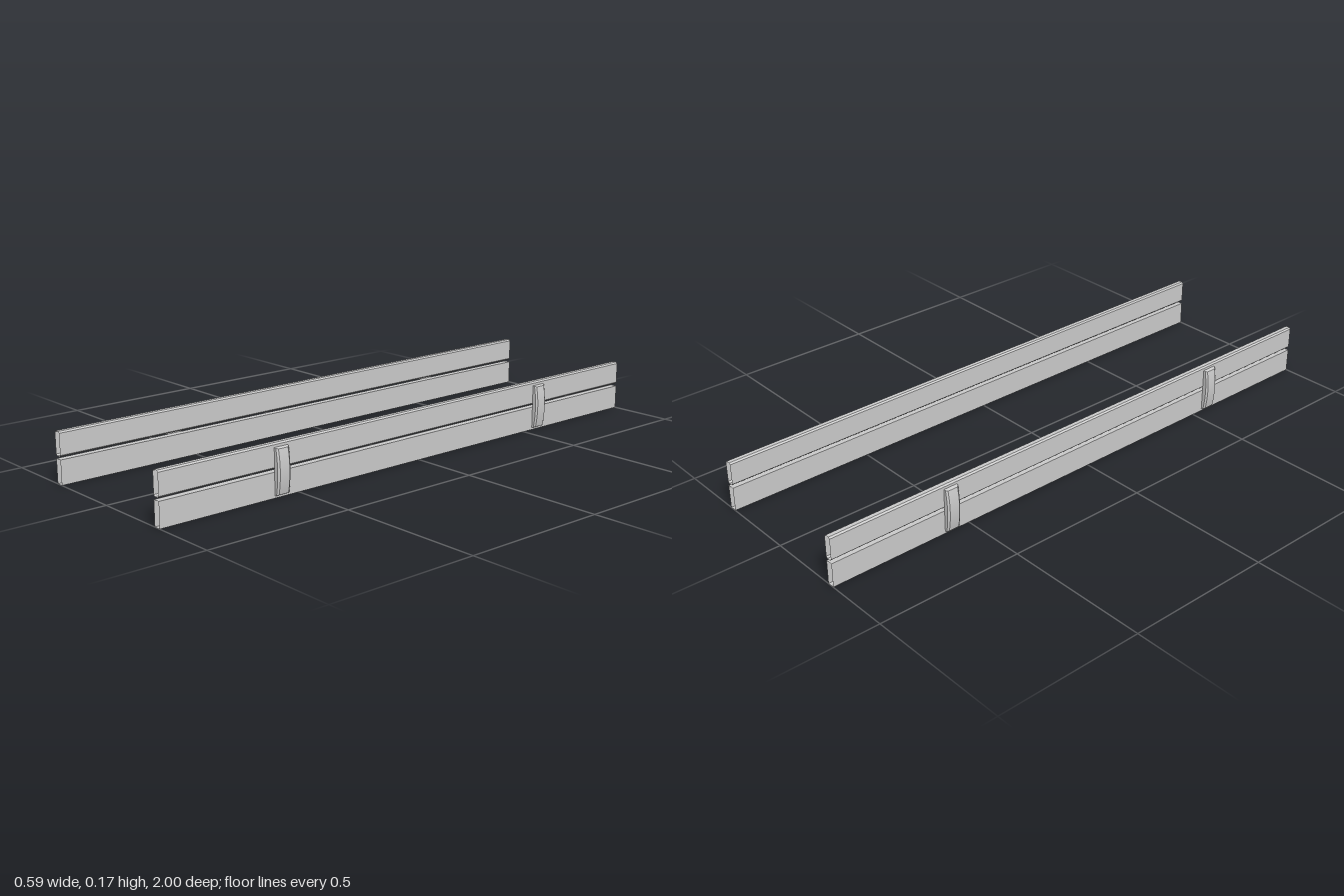
import * as THREE from 'three';
import { toCreasedNormals } from 'three/addons/utils/BufferGeometryUtils.js';

const grey = new THREE.MeshStandardMaterial({ color: 0xcccccc });
const greyOpen = new THREE.MeshStandardMaterial({ color: 0xcccccc, side: THREE.DoubleSide });

const INNER = 0.252, OUTER = 0.276, HALF_LENGTH = 1;

// Plank shell, open at both ends, with optional chamfered long edges
function plankGeometry(y0, y1, c) {
  const a = INNER, b = OUTER;
  const outline = c > 0
    ? [[a + c, y0], [b - c, y0], [b, y0 + c], [b, y1 - c], [b - c, y1], [a + c, y1], [a, y1 - c], [a, y0 + c]]
    : [[a, y0], [b, y0], [b, y1], [a, y1]];
  const pos = [];
  outline.forEach(([px, py], i) => {
    const [qx, qy] = outline[(i + 1) % outline.length];
    const p0 = [px, py, -HALF_LENGTH], p1 = [px, py, HALF_LENGTH];
    const q0 = [qx, qy, -HALF_LENGTH], q1 = [qx, qy, HALF_LENGTH];
    pos.push(...p0, ...q0, ...q1, ...p0, ...q1, ...p1);
  });
  const g = new THREE.BufferGeometry();
  g.setAttribute('position', new THREE.Float32BufferAttribute(pos, 3));
  g.computeVertexNormals();
  return g;
}

// Bowed strap: flat against the planks, bulging outward, with bevelled outer edges
function strapGeometry() {
  const g = new THREE.BoxGeometry(1, 1, 1, 2, 14, 1);
  const p = g.attributes.position;
  for (let i = 0; i < p.count; i++) {
    const layer = Math.round((p.getX(i) + 0.5) * 2); // 0 back, 1 shoulder, 2 face
    const t = p.getY(i) * 2;
    const face = OUTER + 0.011 + 0.0075 * (1 - t * t);
    const x = [OUTER, face - 0.005, face][layer];
    const halfHeight = [0.0745, 0.0735, 0.071][layer];
    const width = [0.05, 0.048, 0.036][layer];
    p.setXYZ(i, x, 0.082 + t * halfHeight, p.getZ(i) * width);
  }
  return toCreasedNormals(g, 0.5);
}

export function createModel() {
  const model = new THREE.Group();
  model.name = 'sideBoards';
  const lower = plankGeometry(0, 0.081, 0);
  const upper = plankGeometry(0.09, 0.17, 0.005);
  const strap = strapGeometry();

  // The right side is the left side turned half round
  for (const side of ['left', 'right']) {
    const board = new THREE.Group();
    board.name = side + 'Board';
    const add = (name, geometry, material, z = 0) => {
      const mesh = new THREE.Mesh(geometry, material);
      mesh.name = name;
      mesh.position.z = z;
      board.add(mesh);
    };
    add('lowerPlank', lower, greyOpen);
    add('upperPlank', upper, greyOpen);
    add('strap', strap, grey, 0.567);
    add('strap', strap, grey, -0.567);
    if (side === 'right') board.rotation.y = Math.PI;
    model.add(board);
  }
  return model;
}
